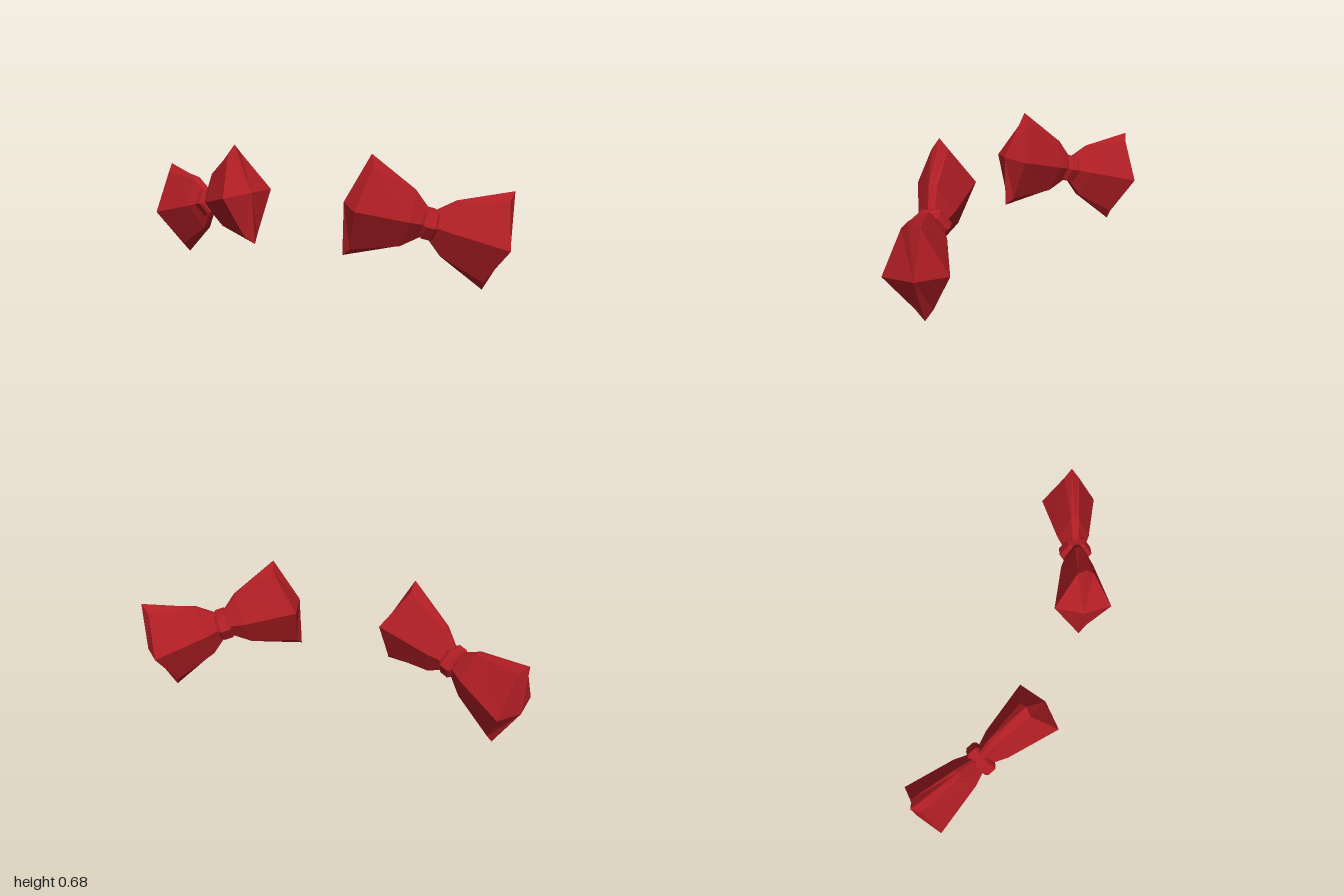
import * as THREE from 'three';

const red = new THREE.MeshStandardMaterial({ color: 0xb01e24, flatShading: true });

// Lofts rings of [x, y, z] points along +x; the first and last rings are closed to points.
function loft(startX, rings, endX) {
  const n = rings[0].length;
  const points = [startX, 0, 0, ...rings.flat(2), endX, 0, 0];
  const last = rings.length * n + 1;
  const index = [];
  for (let i = 0; i < n; i++) {
    const j = (i + 1) % n;
    index.push(0, 1 + j, 1 + i);
    for (let k = 0; k < rings.length - 1; k++) {
      const a = 1 + k * n + i, b = 1 + k * n + j;
      index.push(a, b, b + n, a, b + n, a + n);
    }
    index.push(last - n + i, last - n + j, last);
  }
  const indexed = new THREE.BufferGeometry();
  indexed.setAttribute('position', new THREE.Float32BufferAttribute(points, 3));
  indexed.setIndex(index);
  const geometry = indexed.toNonIndexed();
  geometry.computeVertexNormals();
  return geometry;
}

// Blunt diamond section: three corners [x, y, z] of one quarter, mirrored in y and z.
function diamond(tip, shoulder, side) {
  const [x, y, z] = shoulder;
  return [
    tip, shoulder, side, [x, -y, z],
    [tip[0], -tip[1], 0], [x, -y, -z], [side[0], 0, -side[2]], [x, y, -z],
  ];
}

// Hexagonal section of the knot
function hexagon(x, s) {
  return [[0.07, -0.045], [0.07, 0.045], [0, 0.085], [-0.07, 0.045], [-0.07, -0.045], [0, -0.085]]
    .map(([y, z]) => [x, y * s, z * s]);
}

function makeBow(name) {
  const bow = new THREE.Group();
  bow.name = name;

  // Two flaring loops with a shallow pyramid on the outer end
  const loopGeometry = loft(0.01, [
    diamond([0.02, 0.075, 0], [0.02, 0.07, 0.015], [0.02, 0, 0.05]),
    diamond([0.105, 0.145, 0], [0.105, 0.14, 0.02], [0.105, 0, 0.085]),
    diamond([0.355, 0.257, 0], [0.335, 0.21, 0.04], [0.38, 0, 0.145]),
  ], 0.42);
  ['outerLoop', 'innerLoop'].forEach((loopName, i) => {
    const loop = new THREE.Mesh(loopGeometry, red);
    loop.name = loopName;
    loop.rotation.z = i * Math.PI;
    bow.add(loop);
  });

  // Bevelled knot around the middle
  const knot = new THREE.Mesh(loft(-0.035, [
    hexagon(-0.035, 0.85), hexagon(-0.022, 1), hexagon(0.022, 1), hexagon(0.035, 0.85),
  ], 0.035), red);
  knot.name = 'knot';
  bow.add(knot);
  return bow;
}

export function createModel() {
  const model = new THREE.Group();
  model.name = 'pairOfBows';

  // Each bow is tilted and turned, mirrored left to right
  for (const side of [1, -1]) {
    const bow = makeBow(side > 0 ? 'leftBow' : 'rightBow');
    const along = new THREE.Vector3(0.856 * side, -0.258, -0.446).normalize();
    const up = new THREE.Vector3(0.253 * side, 0.965, -0.0725);
    up.addScaledVector(along, -up.dot(along)).normalize();
    const across = new THREE.Vector3().crossVectors(along, up);
    bow.quaternion.setFromRotationMatrix(new THREE.Matrix4().makeBasis(along, up, across));
    bow.position.set(0.61 * side, 0.342, 0);
    model.add(bow);
  }
  return model;
}
